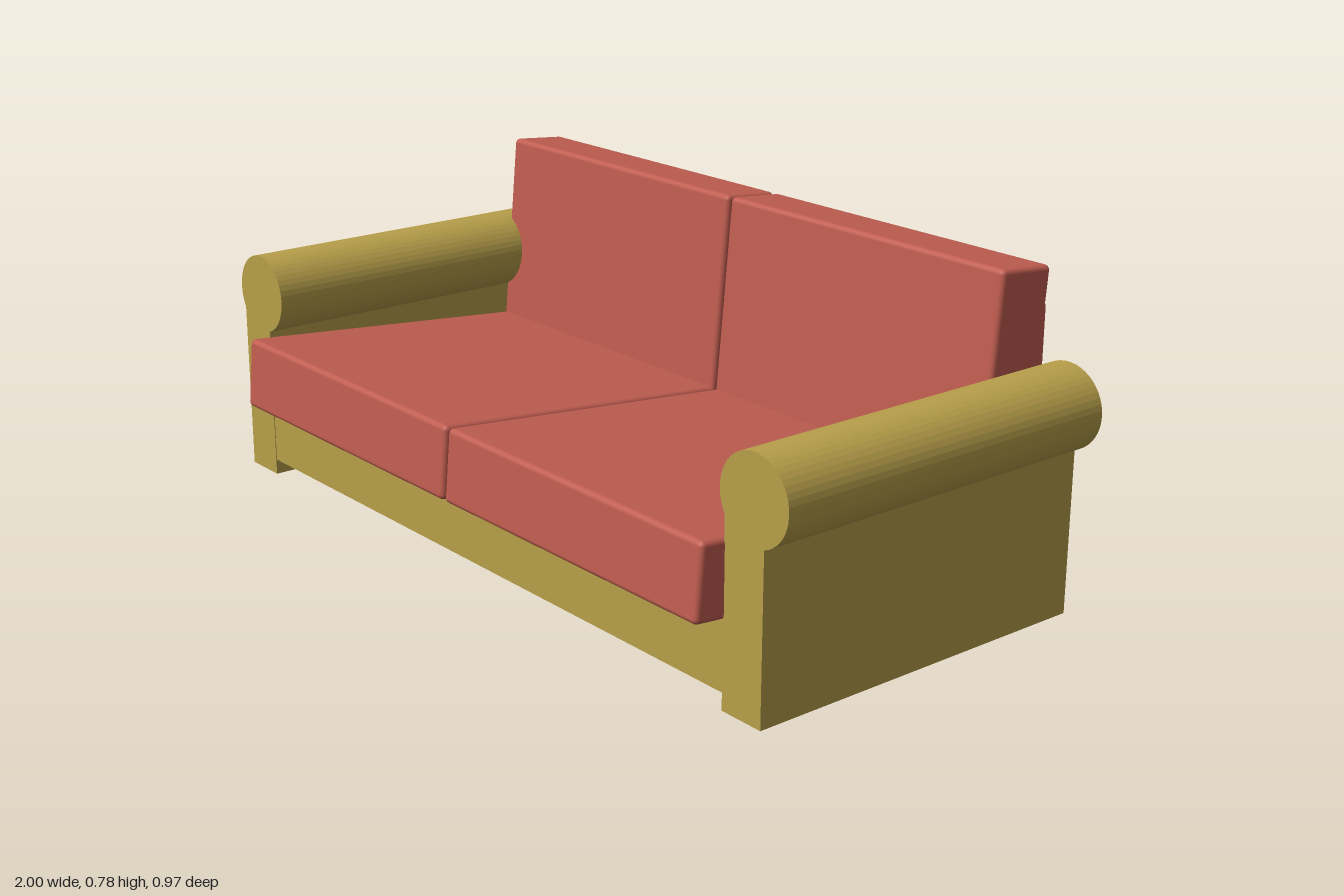
import * as THREE from 'three';
import { RoundedBoxGeometry } from 'three/addons/geometries/RoundedBoxGeometry.js';

const gold = new THREE.MeshStandardMaterial({ color: 0xb89f4a });
const red = new THREE.MeshStandardMaterial({ color: 0xc05d50 });

const LEFT_EDGE = -0.87, RIGHT_EDGE = 0.825, MID = -0.023;
const FRONT = 0.415, BACK = -0.465;
const TILT = -0.09;

// Box given by its minimum and maximum corners
function box(name, material, [x0, y0, z0], [x1, y1, z1]) {
  const mesh = new THREE.Mesh(new THREE.BoxGeometry(x1 - x0, y1 - y0, z1 - z0), material);
  mesh.position.set((x0 + x1) / 2, (y0 + y1) / 2, (z0 + z1) / 2);
  mesh.name = name;
  return mesh;
}

// Upright panel and rolled top as one profile, extruded front to back
function armGeometry() {
  const r = 0.096, rollY = 0.48, outer = -0.081, inner = 0.031, bottom = 0.016;
  const shape = new THREE.Shape();
  shape.moveTo(outer, bottom);
  shape.lineTo(inner, bottom);
  shape.absarc(0, rollY, r, -Math.acos(inner / r), Math.PI + Math.acos(-outer / r), false);
  shape.closePath();
  const geometry = new THREE.ExtrudeGeometry(shape, {
    depth: FRONT - BACK, bevelEnabled: false, curveSegments: 18,
  });
  return geometry.translate(0, 0, BACK);
}

// Leaning cushion, placed by its front top edge
function cushion(name, x0, x1, height, depth, topY, frontZ) {
  const geometry = new RoundedBoxGeometry(x1 - x0, height, depth, 3, 0.012);
  geometry.translate(0, -height / 2, -depth / 2);
  const mesh = new THREE.Mesh(geometry, red);
  mesh.position.set((x0 + x1) / 2, topY, frontZ);
  mesh.rotation.x = TILT;
  mesh.name = name;
  return mesh;
}

export function createModel() {
  const sofa = new THREE.Group();
  sofa.name = 'sofa';

  // Frame
  sofa.add(box('base', gold, [LEFT_EDGE, 0.055, BACK], [RIGHT_EDGE, 0.208, FRONT]));
  sofa.add(box('backPanel', red, [LEFT_EDGE, 0.065, -0.475], [RIGHT_EDGE, 0.68, -0.38]));

  // Arms: both rolls lean the same way
  const arm = armGeometry();
  for (const [name, x] of [['rightArm', -0.904], ['leftArm', 0.904]]) {
    const mesh = new THREE.Mesh(arm, gold);
    mesh.position.x = x;
    mesh.name = name;
    sofa.add(mesh);
  }

  // Feet
  const footGeometry = new THREE.CylinderGeometry(0.021, 0.021, 0.018, 16);
  for (const x of [-0.938, 0.89]) {
    for (const z of [0.365, -0.412]) {
      const foot = new THREE.Mesh(footGeometry, gold);
      foot.position.set(x, 0.009, z);
      foot.name = 'foot';
      sofa.add(foot);
    }
  }

  // Cushions, one pair per seat
  const gap = 0.004;
  for (const [side, x0, x1] of [['right', LEFT_EDGE, MID - gap], ['left', MID + gap, RIGHT_EDGE]]) {
    sofa.add(cushion(side + 'SeatCushion', x0, x1, 0.17, 0.86, 0.384, 0.472));
    sofa.add(cushion(side + 'BackCushion', x0, x1, 0.48, 0.15, 0.777, -0.338));
  }
  return sofa;
}
